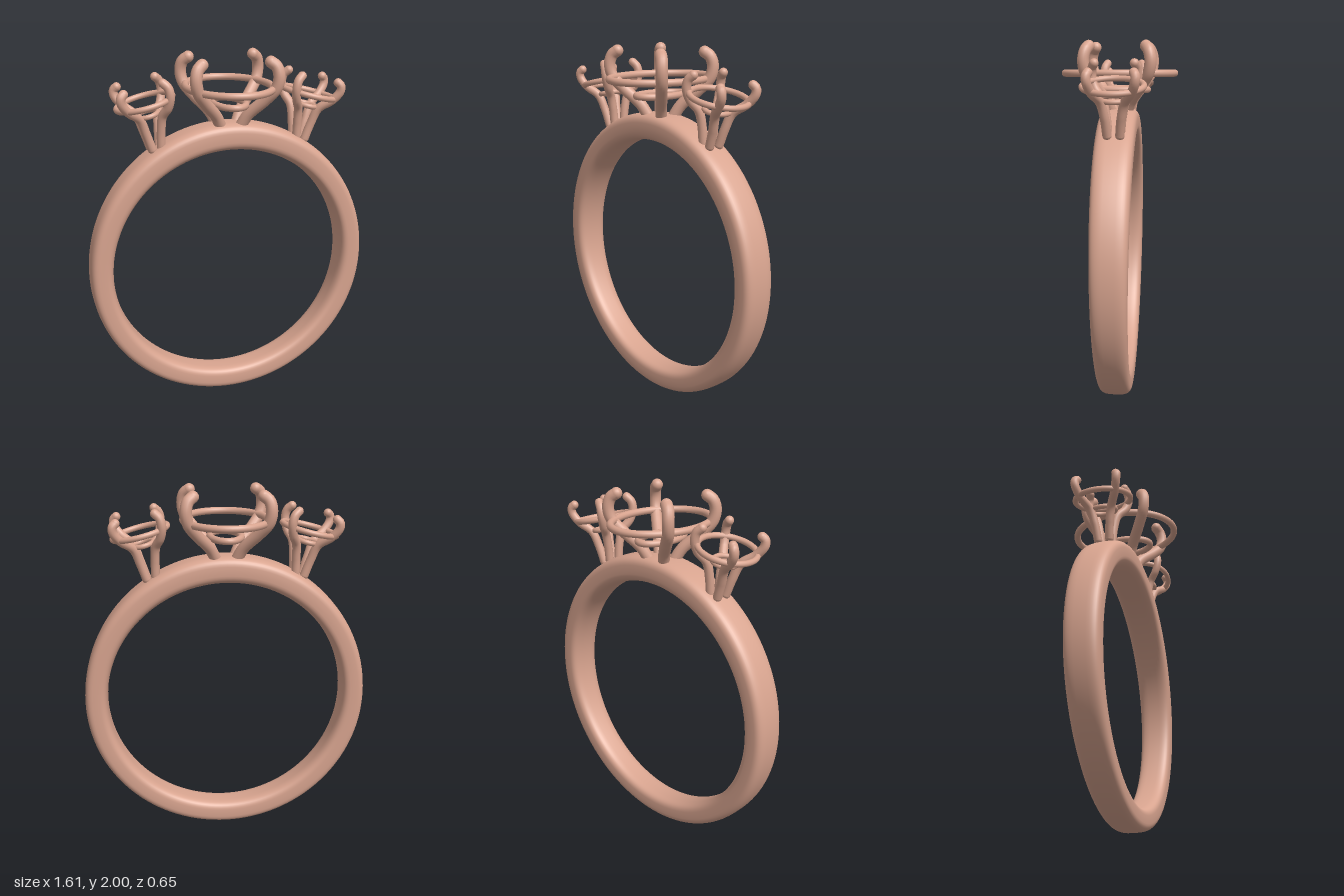
import * as THREE from 'three';

const roseGold = new THREE.MeshStandardMaterial({ color: 0xd8a48f });
roseGold.name = 'rose gold';

function addMesh(parent, geometry, name) {
  const mesh = new THREE.Mesh(geometry, roseGold);
  mesh.name = name;
  parent.add(mesh);
  return mesh;
}

// Band: soft-cornered section swept round, wider and thicker at the top
function bandGeometry(around = 128, section = 40) {
  const pos = [], index = [];
  const soft = (v) => Math.sign(v) * Math.pow(Math.abs(v), 2 / 3.4);
  for (let i = 0; i < around; i++) {
    const a = (i / around) * Math.PI * 2, s = Math.sin(a);
    const inner = 0.677;
    const outer = 0.805 + 0.022 * Math.max(0, s) ** 2 + 0.003 * Math.max(0, -s);
    const halfWidth = 0.095 + 0.01 * s;
    for (let j = 0; j < section; j++) {
      const t = (j / section) * Math.PI * 2;
      const r = (inner + outer) / 2 + soft(Math.cos(t)) * (outer - inner) / 2;
      pos.push(r * Math.cos(a), 0.808 + r * s, soft(Math.sin(t)) * halfWidth);
      const i2 = (i + 1) % around, j2 = (j + 1) % section;
      const A = i * section + j, B = i2 * section + j;
      const C = i2 * section + j2, D = i * section + j2;
      index.push(A, B, C, A, C, D);
    }
  }
  const g = new THREE.BufferGeometry();
  g.setAttribute('position', new THREE.Float32BufferAttribute(pos, 3));
  g.setIndex(index);
  g.computeVertexNormals();
  return g;
}

// Closed oval wire lying flat, with centreline half-axes rx and rz
class Oval extends THREE.Curve {
  constructor(rx, rz) {
    super();
    this.rx = rx;
    this.rz = rz;
  }
  getPoint(t, target = new THREE.Vector3()) {
    const a = t * Math.PI * 2;
    return target.set(this.rx * Math.cos(a), 0, this.rz * Math.sin(a));
  }
}

function addOval(parent, name, rx, rz, wire, x, y, tilt = 0) {
  const mesh = addMesh(parent, new THREE.TubeGeometry(new Oval(rx, rz), 72, wire, 12, true), name);
  mesh.position.set(x, y, 0);
  mesh.rotation.z = tilt;
}

// Claw: curved wire with rounded ends
function addProng(parent, name, points, sx, sz, radius) {
  const pts = points.map(([x, y, z]) => new THREE.Vector3(x * sx, y, z * sz));
  const prong = new THREE.Group();
  prong.name = name;
  parent.add(prong);
  const curve = new THREE.CatmullRomCurve3(pts);
  addMesh(prong, new THREE.TubeGeometry(curve, 40, radius, 14), 'prongWire');
  for (const [p, label] of [[pts[0], 'prongFoot'], [pts[pts.length - 1], 'prongTip']]) {
    addMesh(prong, new THREE.SphereGeometry(radius, 16, 12), label).position.copy(p);
  }
}

export function createModel() {
  const ring = new THREE.Group();
  ring.name = 'threeStoneRing';
  addMesh(ring, bandGeometry(), 'band');

  // Central oval setting
  const centre = new THREE.Group();
  centre.name = 'centreSetting';
  ring.add(centre);
  addOval(centre, 'upperGallery', 0.23, 0.303, 0.02, 0, 1.825);
  addOval(centre, 'lowerGallery', 0.085, 0.155, 0.019, 0, 1.735);
  const claw = [
    [0.055, 1.61, 0.04], [0.09, 1.68, 0.07], [0.165, 1.765, 0.13],
    [0.212, 1.83, 0.168], [0.224, 1.895, 0.178], [0.212, 1.945, 0.168], [0.185, 1.968, 0.152],
  ];
  for (const sx of [1, -1]) {
    for (const sz of [1, -1]) addProng(centre, 'centreProng', claw, sx, sz, 0.032);
  }

  // Two smaller settings leaning outward on the shoulders
  const outerClaw = [
    [0.435, 1.515, 0.033], [0.465, 1.6, 0.042], [0.5, 1.685, 0.062],
    [0.565, 1.735, 0.1], [0.602, 1.785, 0.118], [0.603, 1.815, 0.12], [0.588, 1.832, 0.112],
  ];
  const innerClaw = [
    [0.385, 1.525, 0.033], [0.385, 1.61, 0.042], [0.38, 1.695, 0.062],
    [0.355, 1.75, 0.1], [0.347, 1.81, 0.118], [0.358, 1.855, 0.115], [0.382, 1.878, 0.103],
  ];
  for (const sx of [1, -1]) {
    const side = new THREE.Group();
    side.name = sx > 0 ? 'leftSetting' : 'rightSetting';
    ring.add(side);
    const tilt = -sx * 0.24;
    addOval(side, 'upperGallery', 0.152, 0.156, 0.016, sx * 0.462, 1.765, tilt);
    addOval(side, 'lowerGallery', 0.06, 0.07, 0.014, sx * 0.45, 1.7, tilt);
    for (const sz of [1, -1]) {
      addProng(side, 'outerProng', outerClaw, sx, sz, 0.024);
      addProng(side, 'innerProng', innerClaw, sx, sz, 0.024);
    }
  }
  return ring;
}
